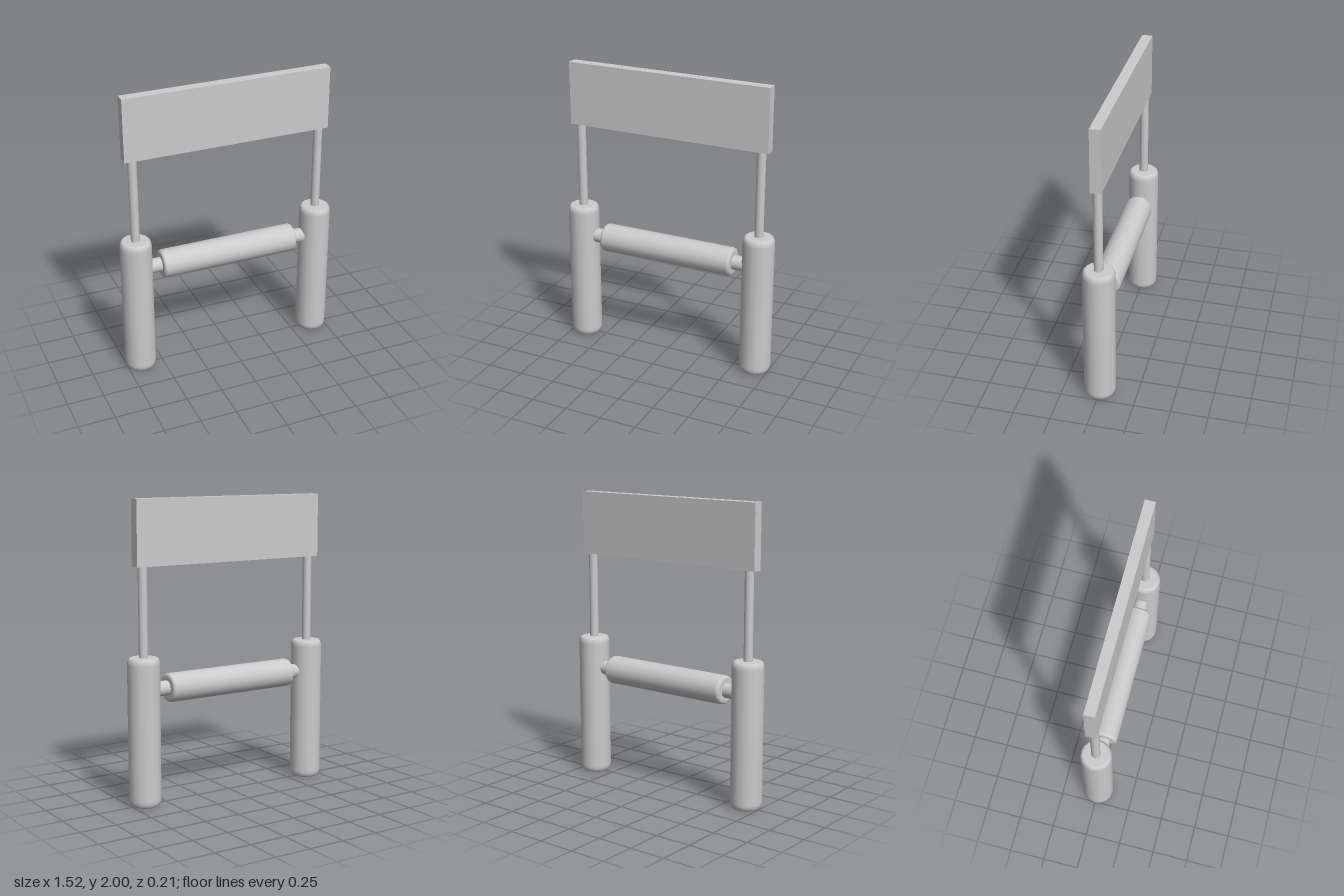
import * as THREE from 'three';

const material = new THREE.MeshStandardMaterial({ color: 0xcccccc });

function add(parent, name, geometry, x, y, z) {
  const mesh = new THREE.Mesh(geometry, material);
  mesh.name = name;
  mesh.position.set(x, y, z);
  parent.add(mesh);
  return mesh;
}

// Upright cylinder with softly rounded rims, centred on its origin
function roundedCylinder(r, length, rimX, rimY) {
  const h = length / 2;
  const rim = [];
  for (let i = 0; i <= 4; i++) {
    const a = (i / 4) * Math.PI / 2;
    rim.push([r - rimX + rimX * Math.sin(a), h - rimY + rimY * Math.cos(a)]);
  }
  const points = [
    new THREE.Vector2(0, -h),
    ...rim.map(([x, y]) => new THREE.Vector2(x, -y)),
    ...rim.slice().reverse().map(([x, y]) => new THREE.Vector2(x, y)),
    new THREE.Vector2(0, h),
  ];
  return new THREE.LatheGeometry(points, 16);
}

export function createModel() {
  const model = new THREE.Group();
  model.name = 'signStand';

  // Padded posts with thin poles carrying the board
  for (const [label, side] of [['left', 1], ['right', -1]]) {
    const x = side * 0.654;
    add(model, label + 'Post', roundedCylinder(0.107, 0.985, 0.022, 0.045), x, 0.4925, 0);
    add(model, label + 'Pole', new THREE.CylinderGeometry(0.03, 0.03, 0.64, 16), x, 1.26, 0);
  }

  // Padded crossbar on its axle
  const axle = add(model, 'axle', new THREE.CylinderGeometry(0.05, 0.05, 1.2, 16), 0, 0.766, 0);
  axle.rotation.z = Math.PI / 2;
  const bar = add(model, 'crossbarPad', roundedCylinder(0.097, 0.968, 0.022, 0.02), -0.002, 0.766, -0.002);
  bar.rotation.z = Math.PI / 2;

  // Flat sign board
  add(model, 'board', new THREE.BoxGeometry(1.425, 0.43, 0.07), -0.002, 1.785, -0.002);

  return model;
}
